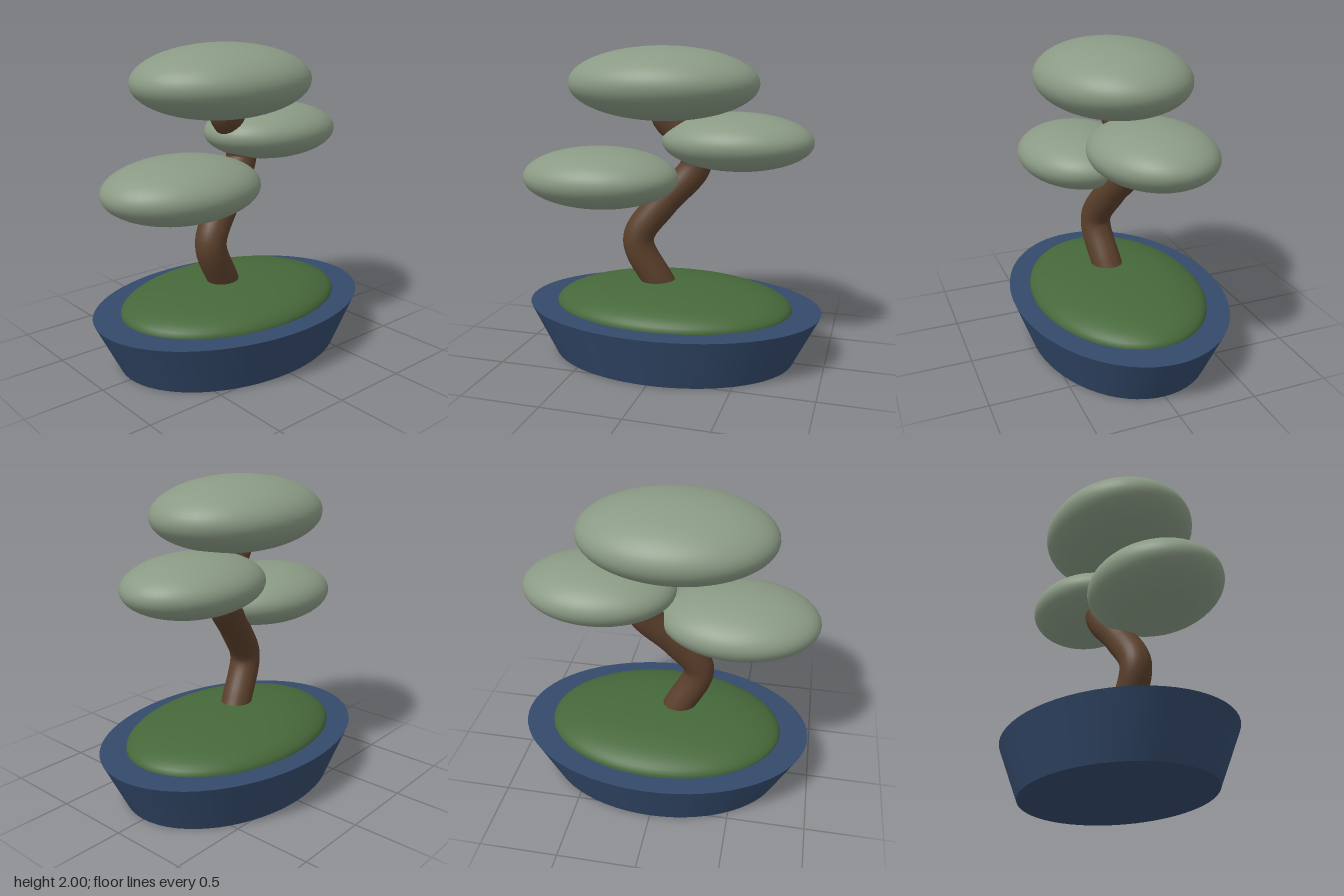
import * as THREE from 'three';

const material = (name, color) => {
  const m = new THREE.MeshStandardMaterial({ color });
  m.name = name;
  return m;
};

export function createModel() {
  const glaze = material('blue glaze', 0x344a6b);
  const moss = material('moss green', 0x46683a);
  const bark = material('brown bark', 0x5a3f2b);
  const leaf = material('sage leaves', 0x8a9a84);

  const group = new THREE.Group();
  const add = (name, geometry, mat) => {
    const mesh = new THREE.Mesh(geometry, mat);
    mesh.name = name;
    group.add(mesh);
    return mesh;
  };

  // Oval tray pot, flaring towards the rim
  const pot = add('pot', new THREE.CylinderGeometry(0.97, 0.8, 0.335, 64), glaze);
  pot.scale.z = 0.71;
  pot.position.y = 0.1675;

  // Low moss dome on the pot
  const dome = new THREE.SphereGeometry(1, 64, 16, 0, Math.PI * 2, 0, Math.PI / 2);
  const mound = add('mossMound', dome, moss);
  mound.scale.set(0.785, 0.165, 0.555);
  mound.position.y = 0.334;

  // S-curved trunk, rising into the top pad
  const path = new THREE.CatmullRomCurve3([
    [0, 0.33, 0], [-0.095, 0.5, 0.03], [-0.215, 0.77, 0.06], [-0.06, 1.01, 0.01],
    [0.14, 1.26, -0.06], [0.08, 1.42, -0.04], [-0.04, 1.56, -0.01], [-0.07, 1.7, 0],
  ].map((p) => new THREE.Vector3(...p)));
  add('trunk', new THREE.TubeGeometry(path, 64, 0.1, 24), bark);

  // Flattened foliage pads: centre, radii
  const pads = [
    ['topFoliage', [-0.065, 1.768, 0], [0.61, 0.232, 0.475]],
    ['leftFoliage', [0.4, 1.41, -0.07], [0.48, 0.183, 0.373]],
    ['rightFoliage', [-0.457, 1.17, 0.098], [0.513, 0.196, 0.398]],
  ];
  for (const [name, centre, radii] of pads) {
    const pad = add(name, new THREE.SphereGeometry(1, 48, 32), leaf);
    pad.position.set(...centre);
    pad.scale.set(...radii);
  }
  return group;
}
